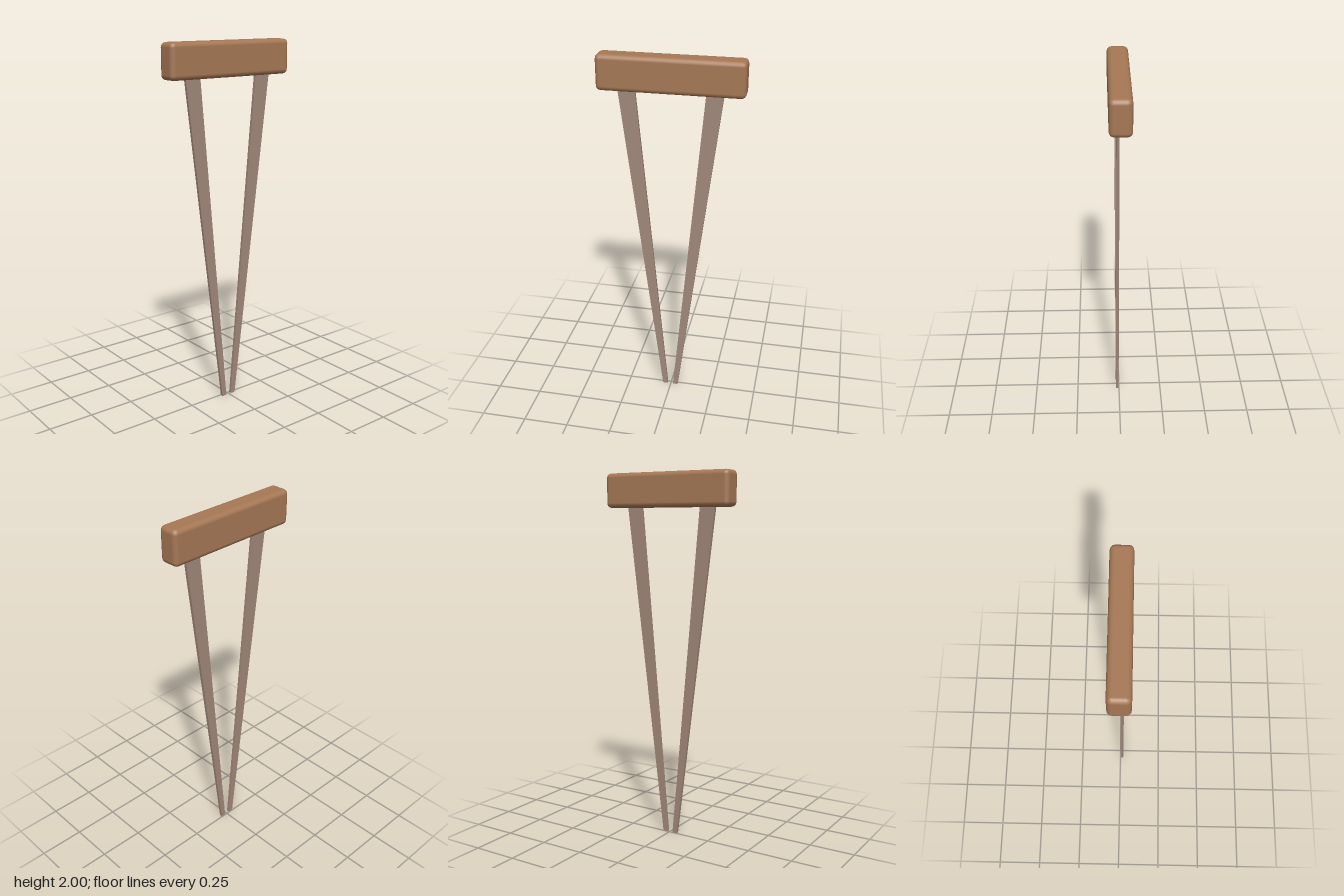
import * as THREE from 'three';
import { RoundedBoxGeometry } from 'three/addons/geometries/RoundedBoxGeometry.js';

const barWood = new THREE.MeshStandardMaterial({ color: 0xa67855 });
barWood.name = 'warm brown wood';
const legWood = new THREE.MeshStandardMaterial({ color: 0xa1887a });
legWood.name = 'greyish brown wood';

// Thin tapered slat leaning outwards; side is +1 (left) or -1 (right)
function makeLeg(side) {
  const outline = [[0.016, 0], [0.044, 0], [0.275, 1.84], [0.184, 1.84]];
  const shape = new THREE.Shape(outline.map(([x, y]) => new THREE.Vector2(side * x, y)));
  const geometry = new THREE.ExtrudeGeometry(shape, { depth: 0.016, bevelEnabled: false });
  const leg = new THREE.Mesh(geometry, legWood);
  leg.name = side > 0 ? 'leftLeg' : 'rightLeg';
  leg.position.set(-0.003, 0, 0.002);
  return leg;
}

export function createModel() {
  const model = new THREE.Group();
  model.name = 'crossbarOnLegs';

  // Rounded crossbar on top
  const bar = new THREE.Mesh(new RoundedBoxGeometry(0.762, 0.186, 0.112, 2, 0.025), barWood);
  bar.name = 'crossbar';
  bar.position.set(-0.001, 1.907, -0.001);
  model.add(bar);

  // Pair of legs converging towards the ground
  for (const side of [1, -1]) model.add(makeLeg(side));

  return model;
}
